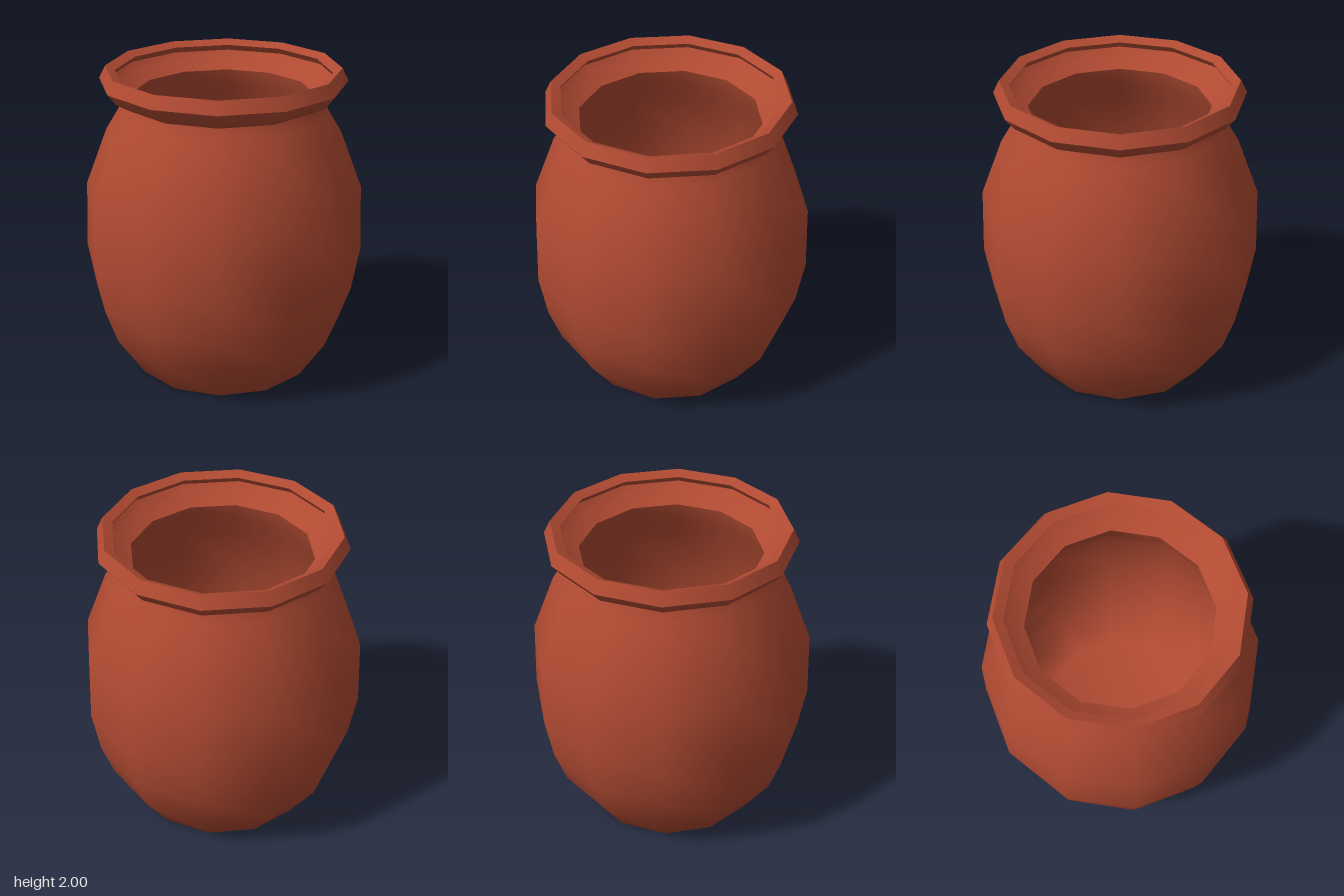
import * as THREE from 'three';

export function createModel() {
  const pot = new THREE.Group();
  pot.name = 'pot';
  const terracotta = new THREE.MeshStandardMaterial({ color: 0xb04a32 });
  terracotta.name = 'terracotta';

  // Twelve-sided ring from [radius, height] points; smooth within, creased between rings
  function ring(name, profile) {
    const points = profile.map(([r, y]) => new THREE.Vector2(r, y));
    const mesh = new THREE.Mesh(new THREE.LatheGeometry(points, 12), terracotta);
    mesh.name = name;
    pot.add(mesh);
  }

  // Outer wall, with the base blended smoothly into it
  ring('body', [
    [0, 0], [0.59, 0], [0.77, 0.27], [0.85, 0.5], [0.9, 0.79],
    [0.885, 1.22], [0.745, 1.59], [0.66, 1.73], [0.635, 1.8],
  ]);

  // Flared rim: underside, outer band, sloping top and undercut lip
  ring('rimUnderside', [[0.635, 1.8], [0.725, 1.85], [0.78, 1.92]]);
  ring('rimBand', [[0.78, 1.92], [0.74, 2]]);
  ring('rimTop', [[0.74, 2], [0.68, 1.97]]);
  ring('lipUndercut', [[0.68, 1.97], [0.71, 1.93]]);
  ring('throat', [[0.71, 1.93], [0.66, 1.88], [0.57, 1.83]]);

  // Hollow inside, following the outer wall down to the floor
  ring('interior', [
    [0.57, 1.83], [0.6, 1.72], [0.68, 1.57], [0.82, 1.2],
    [0.84, 0.8], [0.79, 0.52], [0.71, 0.3], [0.54, 0.07], [0, 0.07],
  ]);

  return pot;
}
